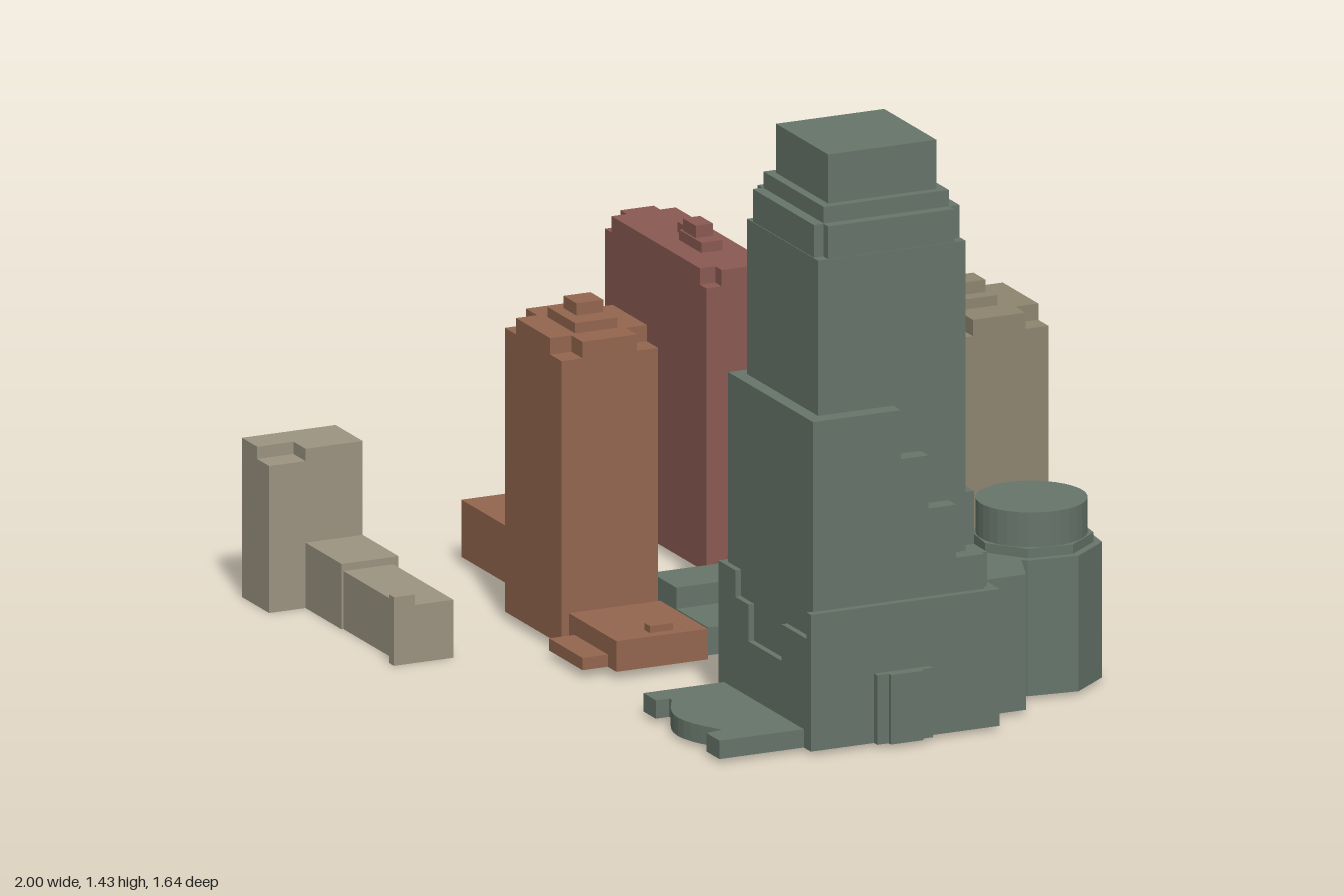
import * as THREE from 'three';

const COLORS = {
  green: 0x66756a, red: 0x8a5a52, brown: 0x94664f,
  tan: 0x8f8570, sand: 0x9c9482, gray: 0x737373,
};

export function createModel() {
  const model = new THREE.Group();
  // The street grid is turned 16 degrees; everything below uses grid axes u, v.
  const site = new THREE.Group();
  site.name = 'cityBlock';
  site.rotation.y = -THREE.MathUtils.degToRad(16);
  model.add(site);

  const materials = {};
  for (const key in COLORS) {
    materials[key] = new THREE.MeshStandardMaterial({ color: COLORS[key], flatShading: true });
  }

  let building, material;
  function begin(name, color) {
    building = new THREE.Group();
    building.name = name;
    material = materials[color];
    site.add(building);
  }
  function add(name, geometry) {
    const mesh = new THREE.Mesh(geometry, material);
    mesh.name = name;
    building.add(mesh);
    return mesh;
  }
  // Box from u, v and height ranges
  function block(name, u0, u1, v0, v1, y0, y1) {
    add(name, new THREE.BoxGeometry(u1 - u0, y1 - y0, v1 - v0))
      .position.set((u0 + u1) / 2, (y0 + y1) / 2, (v0 + v1) / 2);
  }
  // Upright prism on a footprint of [u, v] points
  function prism(name, points, y0, y1) {
    const shape = new THREE.Shape(points.map(([u, v]) => new THREE.Vector2(u, -v)));
    const geometry = new THREE.ExtrudeGeometry(shape, { depth: y1 - y0, bevelEnabled: false });
    geometry.rotateX(-Math.PI / 2);
    add(name, geometry).position.y = y0;
  }
  // Rectangle with its four corners notched out
  function notched(name, u0, u1, v0, v1, nu, nv, y0, y1) {
    prism(name, [
      [u0 + nu, v0], [u1 - nu, v0], [u1 - nu, v0 + nv], [u1, v0 + nv],
      [u1, v1 - nv], [u1 - nu, v1 - nv], [u1 - nu, v1], [u0 + nu, v1],
      [u0 + nu, v1 - nv], [u0, v1 - nv], [u0, v0 + nv], [u0 + nu, v0 + nv],
    ], y0, y1);
  }

  // ---- Main tower ----
  begin('mainTower', 'green');
  block('base', 0.488, 0.988, -0.172, 0.305, 0.01, 0.345);
  // Stepped front wall over the entrance
  for (const [u0, u1, top] of [
    [0.488, 0.58, 0.345], [0.58, 0.65, 0.28], [0.65, 0.83, 0.19],
    [0.83, 0.965, 0.28], [0.965, 0.988, 0.345],
  ]) block('frontWall', u0, u1, 0.305, 0.32, 0.01, top);
  block('sideBay', 0.98, 1.005, 0.01, 0.155, 0.01, 0.18);
  block('sideBayFront', 1.0, 1.017, 0.04, 0.125, 0.01, 0.18);

  // Middle tier, with stairs of setbacks at the rear right corner
  prism('middleTier', [
    [0.51, -0.155], [0.74, -0.155], [0.74, 0.076], [0.969, 0.076], [0.969, 0.305], [0.51, 0.305],
  ], 0.345, 0.81);
  [0.69, 0.56, 0.43].forEach((top, i) => {
    const d = 0.072 * i;
    block('sideSetback', 0.74, 0.969, 0.004 - d, 0.076 - d, 0.345, top);
    block('rearSetback', 0.74 + d, 0.812 + d, -0.155, 0.076, 0.345, top);
  });

  // Shaft and crown, square tiers about one centre
  const cu = 0.735, cv = 0.08;
  function tier(name, h, y0, y1) {
    block(name, cu - h, cu + h, cv - h, cv + h, y0, y1);
  }
  tier('shaft', 0.192, 0.345, 1.19);
  notched('shoulder', cu - 0.19, cu + 0.19, cv - 0.19, cv + 0.19, 0.025, 0.025, 1.19, 1.27);
  tier('crownBase', 0.163, 1.27, 1.31);
  tier('crown', 0.141, 1.31, 1.43);

  // Entrance terrace with a bowed front edge
  const bow = [];
  for (let i = 0; i <= 10; i++) {
    const t = i / 10;
    bow.push([0.6 + 0.27 * t, 0.495 + 0.05 * Math.sin(Math.PI * t)]);
  }
  prism('terrace', [
    [0.518, 0.31], [0.518, 0.53], [0.585, 0.53], [0.585, 0.495], ...bow,
    [0.88, 0.54], [0.95, 0.54], [0.95, 0.31],
  ], 0.01, 0.055);

  // Rear link and rotunda
  prism('rearLink', [
    [0.575, -0.16], [0.575, -0.28], [0.62, -0.33], [0.79, -0.325], [0.896, -0.285], [0.896, -0.16],
  ], 0.01, 0.342);
  const ru = 0.652, rv = -0.417;
  for (const [name, r, sides, y0, y1] of [
    ['rotundaBase', 0.166, 8, 0.01, 0.342],
    ['rotundaStep', 0.146, 8, 0.342, 0.365],
    ['rotundaDrum', 0.132, 32, 0.365, 0.45],
  ]) {
    const drum = add(name, new THREE.CylinderGeometry(r, r, y1 - y0, sides));
    drum.position.set(ru, (y0 + y1) / 2, rv);
    drum.rotation.y = 0.28;
  }

  // ---- Rear left slab ----
  begin('redSlab', 'red');
  block('body', -0.97, -0.422, -0.254, -0.087, 0.02, 0.715);
  notched('roofTier', -0.97, -0.422, -0.254, -0.087, 0.035, 0.04, 0.715, 0.755);
  block('roofRoom', -0.75, -0.66, -0.2, -0.17, 0.755, 0.78);
  block('roofRoom', -0.69, -0.57, -0.2, -0.145, 0.755, 0.78);
  block('roofRoomTop', -0.68, -0.61, -0.195, -0.15, 0.78, 0.81);
  block('passage', -0.645, -0.58, -0.41, -0.25, 0, 0.04);
  block('passageNeck', -0.625, -0.595, -0.5, -0.41, 0, 0.04);

  // ---- Rear low wing ----
  begin('grayWing', 'gray');
  block('body', -0.745, -0.285, -0.64, -0.49, 0.02, 0.175);
  block('joint', -0.285, -0.22, -0.668, -0.54, 0.02, 0.175);
  block('link', -0.22, -0.098, -0.67, -0.575, 0.02, 0.175);
  block('roofRoom', -0.62, -0.56, -0.59, -0.54, 0.175, 0.22);
  block('roofRoomLow', -0.56, -0.49, -0.575, -0.55, 0.175, 0.2);

  // ---- Rear tower ----
  begin('tanTower', 'tan');
  block('body', -0.098, 0.204, -0.677, -0.42, 0.02, 0.715);
  notched('roofTier', -0.098, 0.204, -0.677, -0.42, 0.055, 0.06, 0.715, 0.755);
  block('roofRoom', -0.01, 0.12, -0.585, -0.47, 0.755, 0.78);
  block('roofRoomTop', 0.02, 0.085, -0.57, -0.505, 0.78, 0.81);

  // ---- Central hall ----
  begin('centralHall', 'green');
  block('tallWing', -0.08, 0.057, -0.42, 0.222, 0.03, 0.15);
  block('rearPart', 0.057, 0.07, -0.42, -0.237, 0.03, 0.15);
  block('lowWing', 0.057, 0.228, -0.237, 0.222, 0.03, 0.098);
  block('roofHall', -0.08, 0.05, -0.31, -0.21, 0.15, 0.18);
  block('roofRoom', -0.05, 0.03, -0.3, -0.25, 0.18, 0.22);
  block('roofVent', -0.045, -0.02, -0.03, 0.04, 0.15, 0.18);

  // ---- Front tower with wings ----
  begin('brownTower', 'brown');
  block('body', -0.335, -0.03, 0.228, 0.48, 0.02, 0.715);
  notched('roofTier', -0.335, -0.03, 0.228, 0.48, 0.06, 0.055, 0.715, 0.755);
  block('roofRoom', -0.25, -0.1, 0.3, 0.41, 0.755, 0.78);
  block('roofRoomTop', -0.225, -0.155, 0.31, 0.38, 0.78, 0.81);
  block('leftWing', -0.786, -0.46, 0.23, 0.376, 0.02, 0.16);
  block('leftLink', -0.46, -0.335, 0.23, 0.303, 0.02, 0.16);
  block('leftWingRoof', -0.6, -0.45, 0.27, 0.3, 0.16, 0.2);
  block('rightWing', -0.03, 0.227, 0.222, 0.46, 0.02, 0.095);
  block('rightWingRoof', 0.17, 0.2, 0.3, 0.36, 0.095, 0.112);
  block('porch', 0, 0.18, 0.46, 0.526, 0.02, 0.05);

  // ---- Front left low building ----
  begin('sandBuilding', 'sand');
  block('tower', -0.772, -0.625, 0.711, 0.955, 0, 0.36);
  prism('towerRoof', [
    [-0.772, 0.711], [-0.625, 0.711], [-0.625, 0.86], [-0.69, 0.86], [-0.69, 0.955], [-0.772, 0.955],
  ], 0.36, 0.39);
  block('middleWing', -0.625, -0.43, 0.711, 0.86, 0, 0.16);
  block('endWing', -0.43, -0.105, 0.725, 0.855, 0, 0.142);
  block('endFin', -0.132, -0.105, 0.825, 0.88, 0, 0.168);

  return model;
}
